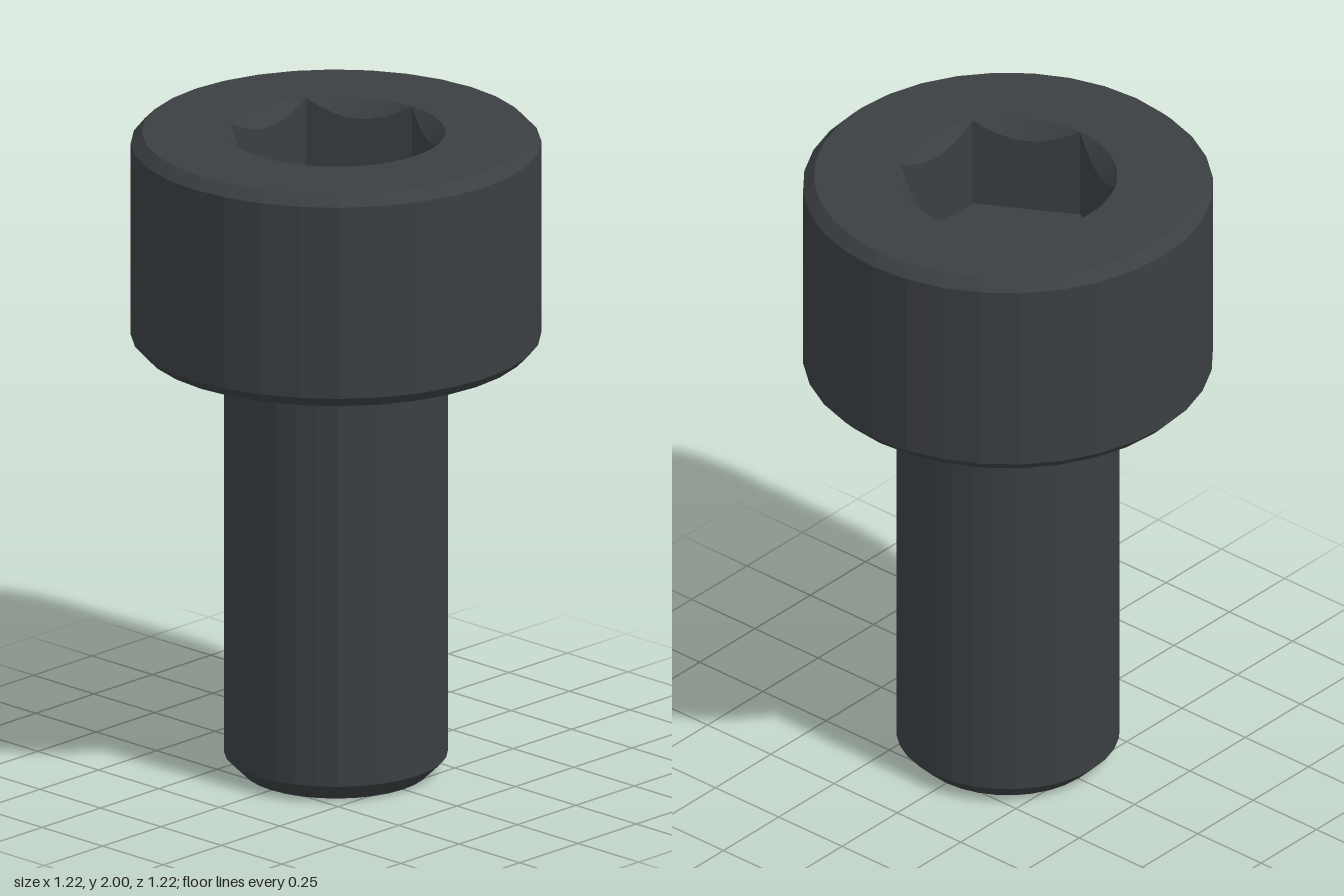
import * as THREE from 'three';

const SIDES = 32;             // facets around the head and shank
const SOCKET_STEPS = 48;      // samples around the socket, 8 per flat
const TOP = 2, FLOOR = 1.71;  // head top and socket floor heights
const APOTHEM = 0.282, CORNER = APOTHEM / Math.cos(Math.PI / 6);

const material = new THREE.MeshStandardMaterial({ color: 0x3b3f42, flatShading: true });

function addPart(group, name, geometry) {
  const mesh = new THREE.Mesh(geometry, material);
  mesh.name = name;
  group.add(mesh);
}

function lathe(points) {
  return new THREE.LatheGeometry(points.map(([r, y]) => new THREE.Vector2(r, y)), SIDES);
}

// Circle outline, used for the head rim and the socket mouth
function circlePoints(radius, steps) {
  return Array.from({ length: steps }, (_, i) => {
    const t = (i / steps) * Math.PI * 2;
    return new THREE.Vector2(radius * Math.cos(t), radius * Math.sin(t));
  });
}

// Distance from the axis to the hexagon wall at angle t (corners on the x axis)
function hexRadius(t) {
  const side = Math.PI / 3;
  return APOTHEM / Math.cos((t % side) - side / 2);
}

// Inward-facing band between two closed rings given as t => [radius, height]
function innerBand(upper, lower) {
  const positions = [], index = [];
  for (let i = 0; i <= SOCKET_STEPS; i++) {
    const t = ((i % SOCKET_STEPS) / SOCKET_STEPS) * Math.PI * 2;
    for (const [r, y] of [upper(t), lower(t)]) {
      positions.push(r * Math.cos(t), y, -r * Math.sin(t));
    }
    if (i < SOCKET_STEPS) {
      const a = i * 2;
      index.push(a, a + 2, a + 1, a + 2, a + 3, a + 1);
    }
  }
  const geometry = new THREE.BufferGeometry();
  geometry.setAttribute('position', new THREE.Float32BufferAttribute(positions, 3));
  geometry.setIndex(index);
  geometry.computeVertexNormals();
  return geometry;
}

export function createModel() {
  const screw = new THREE.Group();
  screw.name = 'socketHeadScrew';

  // Shank with chamfered tip and a small fillet under the head
  const shank = [[0, 0], [0.278, 0], [0.333, 0.055], [0.333, 1.311]];
  for (let i = 1; i <= 4; i++) {
    const a = (i / 4) * Math.PI / 2;
    shank.push([0.355 - 0.022 * Math.cos(a), 1.311 + 0.022 * Math.sin(a)]);
  }
  addPart(screw, 'shank', lathe(shank));

  // Head underside, chamfers and wall
  addPart(screw, 'head', lathe([
    [0.355, 1.333], [0.578, 1.333], [0.611, 1.367], [0.611, 1.967], [0.578, TOP],
  ]));

  // Flat top of the head, open at the socket
  const face = new THREE.Shape(circlePoints(0.578, SIDES));
  face.holes.push(new THREE.Path(circlePoints(CORNER, SOCKET_STEPS)));
  addPart(screw, 'headTop', new THREE.ShapeGeometry(face).rotateX(-Math.PI / 2).translate(0, TOP, 0));

  // Conical lead-in that meets each flat along a curve, then the hexagonal walls
  const mouth = () => [CORNER, TOP];
  const wallTop = (t) => [hexRadius(t), TOP - 1.2 * (CORNER - hexRadius(t))];
  const wallFoot = (t) => [hexRadius(t), FLOOR];
  addPart(screw, 'socketChamfer', innerBand(mouth, wallTop));
  addPart(screw, 'socketWalls', innerBand(wallTop, wallFoot));
  addPart(screw, 'socketFloor', new THREE.CircleGeometry(CORNER, 6).rotateX(-Math.PI / 2).translate(0, FLOOR, 0));

  return screw;
}
